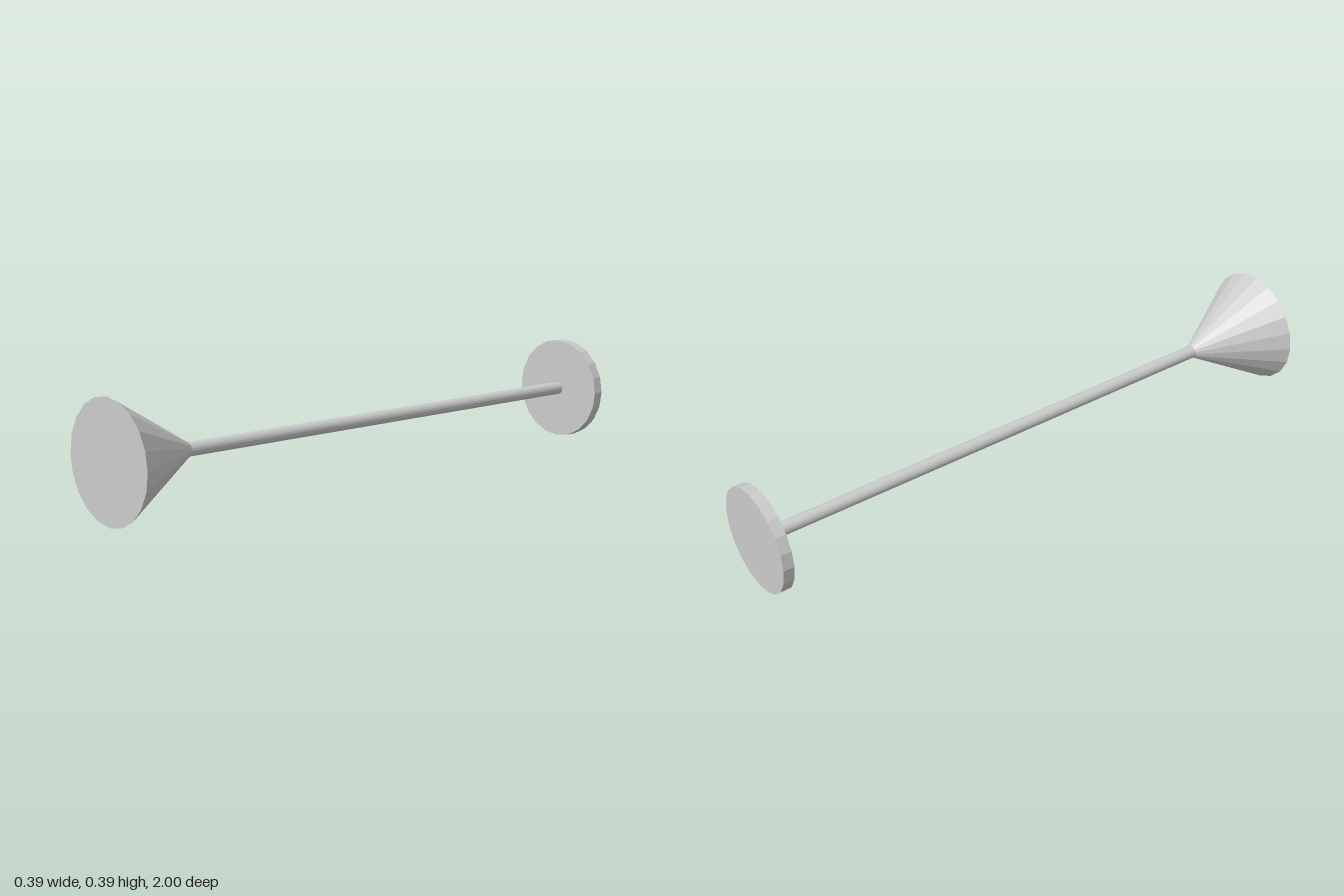
import * as THREE from 'three';

const SIDES = 20;
const AXIS_Y = 0.195;

export function createModel() {
  const group = new THREE.Group();
  const material = new THREE.MeshStandardMaterial({ color: 0xcccccc, flatShading: true });

  // Round section along z, from the back radius to the front radius
  function addSection(name, backZ, frontZ, backRadius, frontRadius) {
    const geometry = new THREE.CylinderGeometry(frontRadius, backRadius, frontZ - backZ, SIDES);
    geometry.rotateX(Math.PI / 2);
    const mesh = new THREE.Mesh(geometry, material);
    mesh.name = name;
    mesh.position.set(0, AXIS_Y, (backZ + frontZ) / 2);
    group.add(mesh);
  }

  addSection('endDisc', -1, -0.963, 0.174, 0.174);
  addSection('rod', -0.963, 0.72, 0.022, 0.022);
  addSection('flaredCone', 0.715, 1, 0.022, 0.193);

  return group;
}
